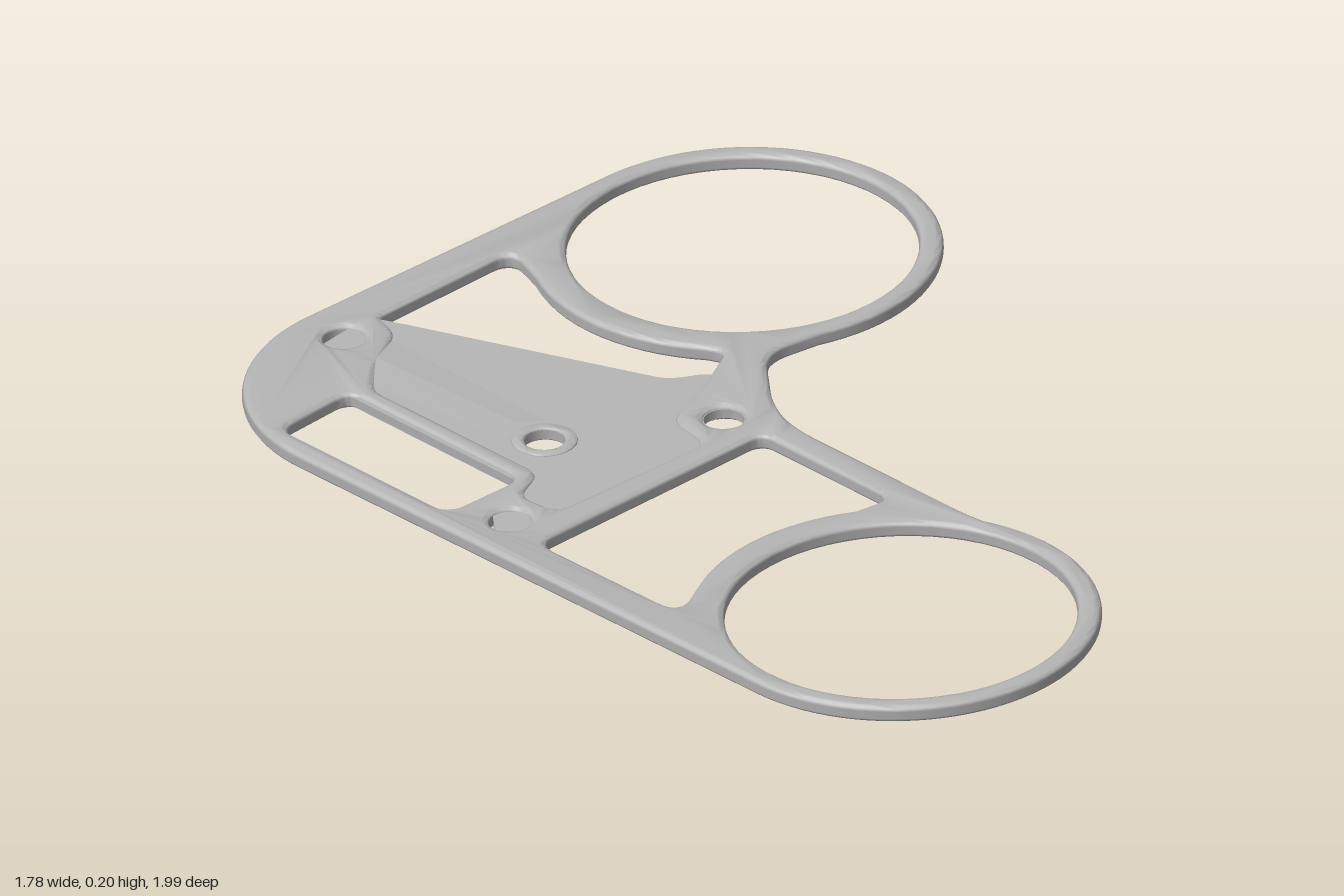
import * as THREE from 'three';
import { toCreasedNormals } from 'three/addons/utils/BufferGeometryUtils.js';
import { ConvexGeometry } from 'three/addons/geometries/ConvexGeometry.js';

const THICK = 0.033;
const RING_A = [-0.13, -0.633], RING_B = [0.52, 0.625], CORNER = [-0.525, 0];
const OUTER = 0.369, INNER = 0.324, BOLT = 0.038;

// Points along an arc, with no corner rounding
function arc([cx, cz], r, a0, a1, n = 14) {
  return Array.from({ length: n + 1 }, (_, i) => {
    const a = a0 + (a1 - a0) * i / n;
    return [cx + r * Math.cos(a), cz + r * Math.sin(a), 0];
  });
}

// Closed outline through [x, z, cornerRadius] points with rounded corners
function rounded(points, target) {
  const pts = points.map(([x, z]) => new THREE.Vector2(x, z));
  const n = pts.length;
  pts.forEach((p, i) => {
    const a = pts[(i + n - 1) % n], b = pts[(i + 1) % n];
    const r = Math.min(points[i][2] ?? 0.03, 0.45 * p.distanceTo(a), 0.45 * p.distanceTo(b));
    const from = p.clone().add(a.clone().sub(p).setLength(r));
    const to = p.clone().add(b.clone().sub(p).setLength(r));
    if (i === 0) target.moveTo(from.x, from.y);
    else target.lineTo(from.x, from.y);
    if (r > 0) target.quadraticCurveTo(p.x, p.y, to.x, to.y);
  });
  target.closePath();
  return target;
}

const circle = ([x, z], r) => new THREE.Path().absarc(x, z, r, 0, Math.PI * 2, false);

// Flat plate centred on y = 0, with softly rounded edges
function plate(shape, thick, bevel, segments = 10) {
  const geo = new THREE.ExtrudeGeometry(shape, {
    depth: thick - 2 * bevel, curveSegments: segments, bevelEnabled: bevel > 0,
    bevelThickness: bevel, bevelSize: bevel, bevelOffset: -bevel, bevelSegments: 4,
  });
  geo.translate(0, 0, -(thick - 2 * bevel) / 2);
  geo.rotateX(Math.PI / 2);
  return toCreasedNormals(geo, 0.8);
}

export function createModel() {
  const grey = new THREE.MeshStandardMaterial({ color: 0xb3b3b3 });
  grey.name = 'grey';
  const model = new THREE.Group();
  const bracket = new THREE.Group();
  bracket.name = 'bracket';
  model.add(bracket);
  const add = (name, geo) => {
    const mesh = new THREE.Mesh(geo, grey);
    mesh.name = name;
    bracket.add(mesh);
  };
  const bolts = [[-0.75, -0.13], [0.01, 0], [-0.27, 0.46]];
  const midBolt = [-0.29, 0.15];

  // Outer outline: two ring ends joined round a broad corner
  const frame = new THREE.Shape();
  rounded([
    ...arc(RING_A, OUTER, 0.9, -2.585, 48),
    ...arc(CORNER, OUTER, -2.585, -4.17, 24),
    ...arc(RING_B, OUTER, 2.11, -1.41, 48),
    [0.53, 0.237, 0.02], [0.1, -0.025, 0.12], [0.02, -0.25, 0.13],
  ], frame);

  // Opening beside the back ring, continuing over the thin web
  const backOpening = [
    [-0.705, -0.22, 0.01], [-0.535, -0.51, 0.05], ...arc(RING_A, 0.395, 2.6, 1.47),
    [-0.055, -0.235, 0.04], [-0.06, -0.1, 0.05], [-0.085, 0.03, 0.04], [0.0, 0.1, 0.03],
    [-0.195, 0.405, 0.03], [-0.275, 0.365, 0.03], [-0.265, 0.275, 0.03],
    [-0.645, 0.045, 0.03], [-0.665, -0.06, 0.04], [-0.66, -0.17, 0.04],
  ];
  const frontOpening = [
    [0.095, 0.045], [0.385, 0.222, 0.03], ...arc(RING_B, 0.39, -2.06, -3.08),
    [0.125, 0.72, 0.06], [-0.195, 0.53, 0.04],
  ];
  const slot = [[-0.685, 0.065, 0.035], [-0.295, 0.305, 0.035], [-0.39, 0.455, 0.035], [-0.77, 0.225, 0.035]];
  for (const hole of [backOpening, frontOpening, slot]) frame.holes.push(rounded(hole, new THREE.Path()));
  for (const ring of [RING_A, RING_B]) {
    frame.holes.push(rounded(arc(ring, INNER, 0, Math.PI * 2 * 63 / 64, 63), new THREE.Path()));
  }
  for (const b of bolts) frame.holes.push(circle(b, BOLT));
  add('frame', plate(frame, THICK, 0.014));

  // Thin web filling the middle
  const web = rounded([
    [-0.73, -0.222, 0], [-0.65, -0.21, 0], [-0.13, -0.122, 0.03], [-0.065, -0.16, 0.02],
    [0.02, -0.14], [0.08, 0.06], [-0.185, 0.5], [-0.28, 0.52], [-0.315, 0.42],
    [-0.295, 0.31, 0.02], [-0.685, 0.07, 0.02], [-0.73, 0.13], [-0.83, 0],
  ], new THREE.Shape());
  for (const b of [...bolts, midBolt]) web.holes.push(circle(b, BOLT));
  add('web', plate(web, 0.018, 0));

  // Raised collar round the middle bolt hole
  const collar = new THREE.Shape().absarc(...midBolt, 0.062, 0, Math.PI * 2, false);
  collar.holes.push(circle(midBolt, BOLT));
  add('boltCollar', plate(collar, 0.026, 0.006));

  // Sloping rib from the corner bolt towards the middle one
  const rib = [];
  for (const s of [1, -1]) {
    for (const [x, z, y] of [
      [-0.67, -0.07, 0.0145], [-0.36, 0.1, 0.012], [-0.69, -0.17, 0.0085], [-0.3, 0.075, 0.0085],
      [-0.36, 0.17, 0.0085], [-0.67, 0.02, 0.0085],
    ]) rib.push(new THREE.Vector3(x, y * s, z));
  }
  add('slopingRib', new ConvexGeometry(rib));

  // Lean the whole bracket so its back end is raised
  bracket.rotation.x = 0.087;
  bracket.position.y = 0.102;
  return model;
}
